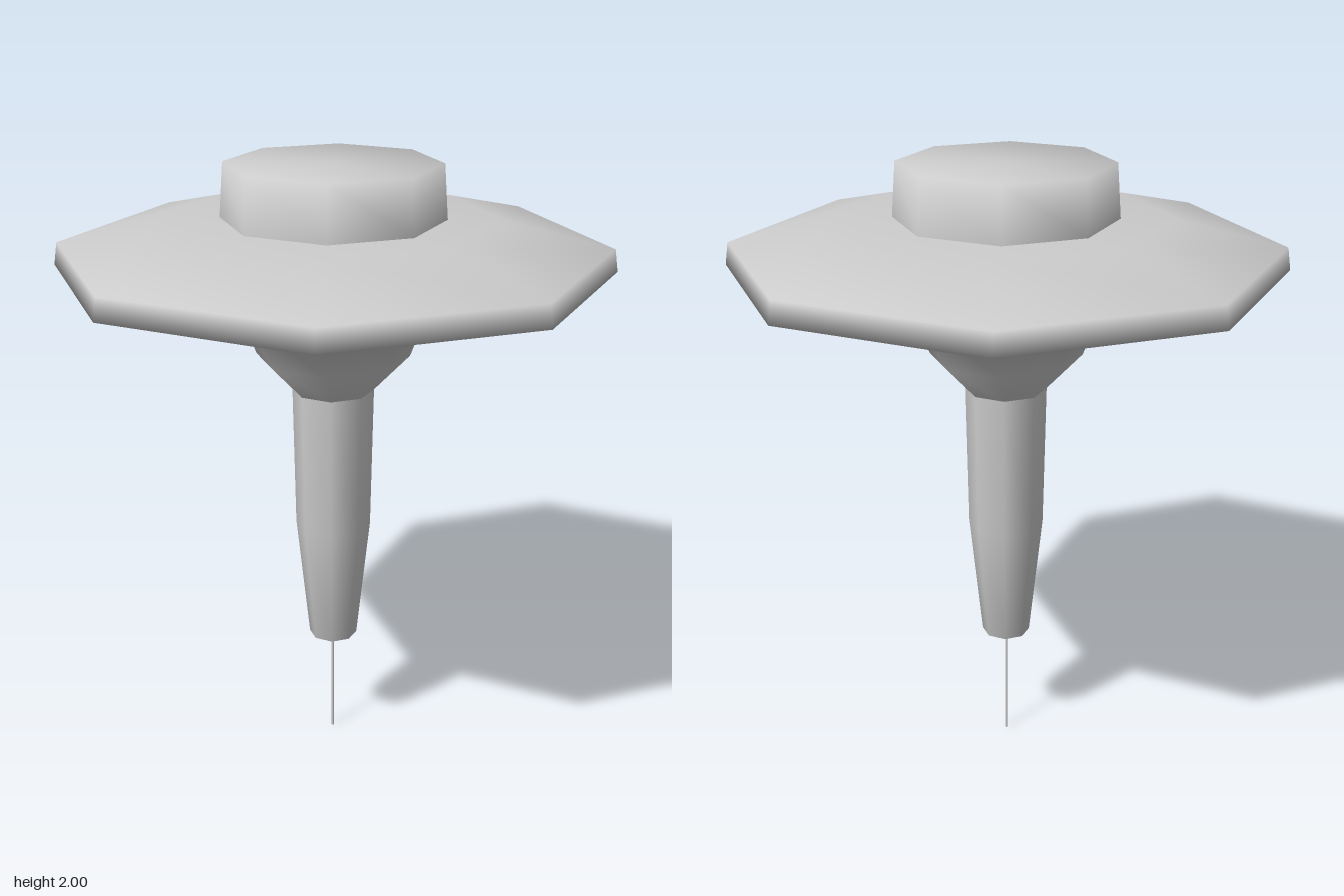
import * as THREE from 'three';

const SIDES = 8;
const TURN = THREE.MathUtils.degToRad(15.2);

export function createModel() {
  const model = new THREE.Group();
  const material = new THREE.MeshStandardMaterial({ color: 0xcccccc });

  // Smooth eight-sided turned part; profile is [radius, y] from bottom to top
  function turned(name, profile) {
    const points = profile.map(([r, y]) => new THREE.Vector2(r, y));
    const mesh = new THREE.Mesh(new THREE.LatheGeometry(points, SIDES, TURN), material);
    mesh.name = name;
    model.add(mesh);
  }

  // Tapered grip, closed at its lower tip
  turned('shaft', [[0, 0.395], [0.08, 0.395], [0.123, 0.81], [0.131, 1.28]]);

  // Flared collar widening into the broad disc
  turned('disc', [
    [0.131, 1.28], [0.244, 1.395], [0.293, 1.53],
    [0.873, 1.675], [0.862, 1.745], [0.52, 1.83], [0, 1.83],
  ]);

  // Short closed stub on top
  turned('topKnob', [[0.349, 1.83], [0.336, 2], [0, 2]]);

  // Thin needle below the shaft
  const needle = new THREE.Mesh(new THREE.CylinderGeometry(0.004, 0.004, 0.4, SIDES), material);
  needle.name = 'needle';
  needle.position.set(-0.007, 0.2, -0.017);
  model.add(needle);

  return model;
}
